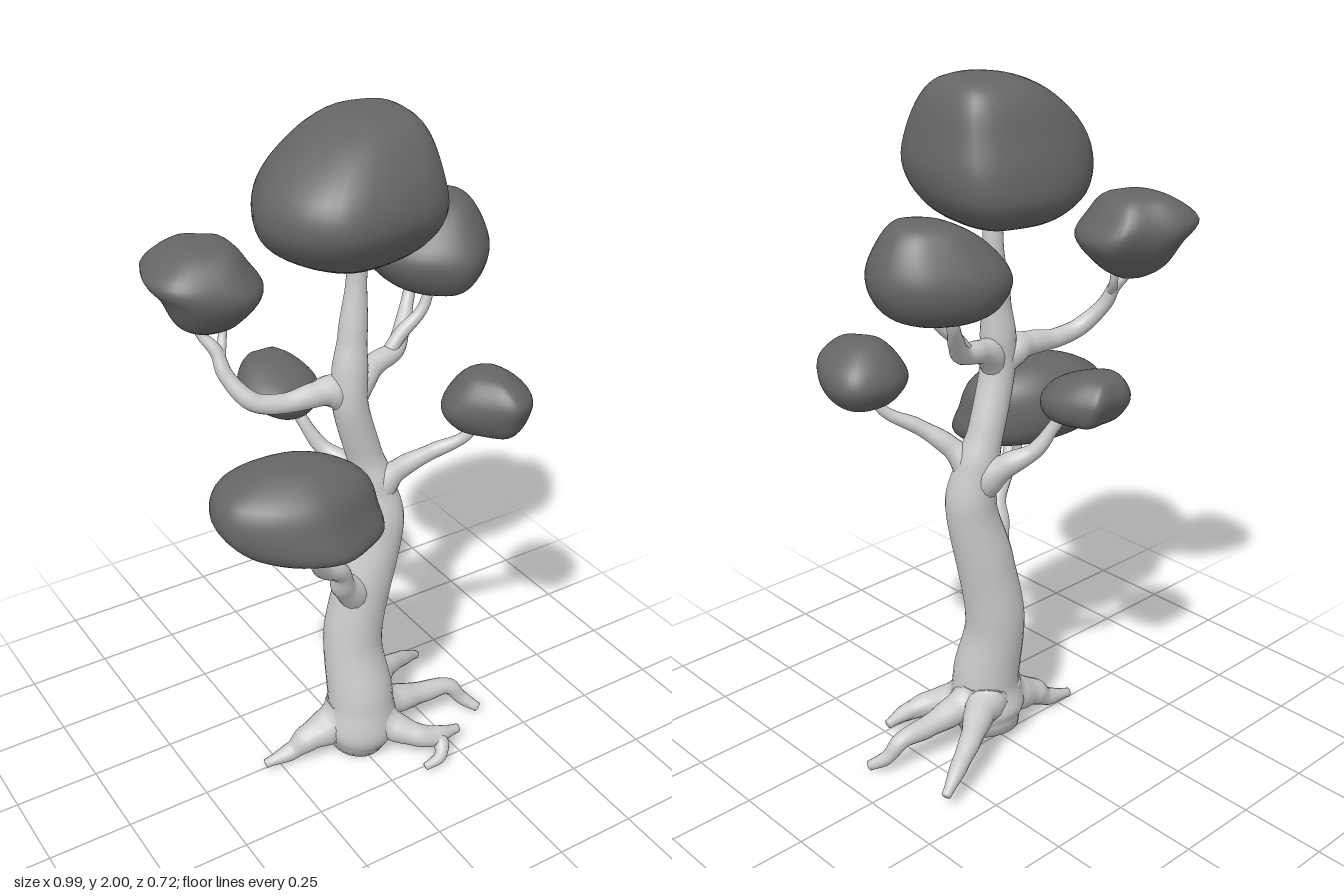
import * as THREE from 'three';
import { mergeVertices } from 'three/addons/utils/BufferGeometryUtils.js';

const bark = new THREE.MeshStandardMaterial({ color: 0xcccccc });
const leaf = new THREE.MeshStandardMaterial({ color: 0x666666 });

// Closed tapering limb through points [x, y, z, radius]
function limb(name, pts, sides = 14) {
  const curve = new THREE.CatmullRomCurve3(pts.map(p => new THREE.Vector3(p[0], p[1], p[2])));
  const seg = pts.length * 8;
  const geo = new THREE.TubeGeometry(curve, seg, 1, sides);
  const pos = geo.attributes.position;
  const v = new THREE.Vector3();
  for (let i = 0; i <= seg; i++) {
    const f = curve.getUtoTmapping(i / seg) * (pts.length - 1);
    const k = Math.min(Math.floor(f), pts.length - 2);
    const s = THREE.MathUtils.smoothstep(f - k, 0, 1);
    const end = i === 0 || i === seg;
    const r = end ? 0 : THREE.MathUtils.lerp(pts[k][3], pts[k + 1][3], s);
    // the rings beside the closed ends move outward, so the caps are blunt
    const c = curve.getPointAt(i / seg);
    const capped = i === 1 ? curve.getPointAt(0.2 / seg)
      : i === seg - 1 ? curve.getPointAt((seg - 0.4) / seg) : c;
    for (let j = 0; j <= sides; j++) {
      const n = i * (sides + 1) + j;
      v.fromBufferAttribute(pos, n).sub(c).multiplyScalar(r).add(capped);
      pos.setXYZ(n, v.x, v.y, v.z);
    }
  }
  geo.deleteAttribute('uv');
  geo.deleteAttribute('normal');
  const merged = mergeVertices(geo, 1e-5);
  merged.computeVertexNormals();
  const mesh = new THREE.Mesh(merged, bark);
  mesh.name = name;
  return mesh;
}

// Rounded clump: a closed outline [x, z] in the -1..1 square, lofted through
// sections [y, xMin, xMax, zMin, zMax] from top to bottom
function clump(name, outline, sections) {
  const spline = f => new THREE.CatmullRomCurve3(sections.map(f), false, 'catmullrom', 0.5);
  const a = spline(s => new THREE.Vector3(s[0], s[1], s[2]));
  const b = spline(s => new THREE.Vector3(s[3], s[4], 0));
  const rim = new THREE.CatmullRomCurve3(outline.map(([x, z]) => new THREE.Vector3(x, 0, z)), true);
  const rows = 30, cols = 44, pos = [], index = [];
  for (let i = 0; i <= rows; i++) {
    const p = a.getPoint(i / rows), q = b.getPoint(i / rows);
    for (let j = 0; j < cols; j++) {
      const o = rim.getPoint(j / cols);
      pos.push((p.y + p.z + o.x * (p.z - p.y)) / 2, p.x, (q.x + q.y + o.z * (q.y - q.x)) / 2);
      if (i === rows) continue;
      const n = i * cols + j, m = i * cols + (j + 1) % cols;
      index.push(n, m, n + cols, m, m + cols, n + cols);
    }
  }
  const geo = new THREE.BufferGeometry();
  geo.setAttribute('position', new THREE.Float32BufferAttribute(pos, 3));
  geo.setIndex(index);
  const merged = mergeVertices(geo, 1e-5);
  merged.computeVertexNormals();
  const mesh = new THREE.Mesh(merged, leaf);
  mesh.name = name;
  return mesh;
}

export function createModel() {
  const tree = new THREE.Group();
  tree.name = 'tree';

  // Trunk: leans, kinks near the lower fork and tapers into the crown
  tree.add(limb('trunk', [
    [0.01, 0.02, 0.035, 0.085], [0.01, 0.1, 0.05, 0.115], [0.01, 0.2, 0.052, 0.1],
    [0.002, 0.4, 0.02, 0.088], [0.035, 0.6, 0.025, 0.084], [0.08, 0.8, 0.035, 0.074],
    [0.07, 0.92, 0.02, 0.062], [0.045, 1.02, 0.01, 0.051], [-0.005, 1.2, 0.015, 0.05],
    [-0.002, 1.29, 0.01, 0.05], [0.01, 1.4, 0.005, 0.04], [0.025, 1.56, 0, 0.028],
    [0.025, 1.68, 0, 0.022],
  ], 24));

  // Branches start inside the trunk and curve out of it
  const branches = {
    lowerRightBranch: [[0.02, 0.52, 0.03, 0.05], [-0.02, 0.6, 0.055, 0.05], [-0.075, 0.66, 0.09, 0.036],
      [-0.1, 0.73, 0.12, 0.028], [-0.18, 0.79, 0.16, 0.022], [-0.235, 0.87, 0.205, 0.015],
      [-0.25, 0.93, 0.215, 0.012]],
    lowerRightTwig: [[-0.17, 0.78, 0.155, 0.018], [-0.205, 0.84, 0.145, 0.014], [-0.195, 0.92, 0.14, 0.01]],
    upperRightBranch: [[0.0, 1.18, 0.015, 0.035], [-0.05, 1.24, 0, 0.045], [-0.11, 1.245, 0, 0.035],
      [-0.2, 1.24, -0.01, 0.028], [-0.28, 1.26, -0.03, 0.026], [-0.33, 1.33, -0.08, 0.021],
      [-0.34, 1.39, -0.11, 0.018], [-0.37, 1.44, -0.14, 0.013], [-0.375, 1.5, -0.15, 0.01]],
    upperRightTwig: [[-0.335, 1.37, -0.1, 0.015], [-0.31, 1.41, -0.13, 0.012], [-0.295, 1.49, -0.15, 0.009]],
    upperLeftBranch: [[0.0, 1.18, 0.015, 0.035], [0.04, 1.25, 0, 0.042], [0.1, 1.275, -0.02, 0.032],
      [0.17, 1.29, -0.035, 0.028], [0.22, 1.34, -0.07, 0.023], [0.265, 1.4, -0.11, 0.018],
      [0.3, 1.49, -0.13, 0.014]],
    upperLeftTwig: [[0.14, 1.28, -0.03, 0.02], [0.19, 1.34, -0.03, 0.02], [0.25, 1.4, -0.02, 0.016],
      [0.28, 1.48, -0.02, 0.013]],
    middleLeftBranch: [[0.06, 0.83, 0.025, 0.04], [0.085, 0.92, 0.04, 0.046], [0.125, 0.98, 0.075, 0.03],
      [0.19, 1.04, 0.13, 0.022], [0.265, 1.09, 0.18, 0.016], [0.3, 1.16, 0.21, 0.012]],
    backBranch: [[0.07, 0.8, 0.03, 0.04], [0.06, 0.89, -0.015, 0.048], [0.035, 0.945, -0.075, 0.033],
      [-0.01, 0.99, -0.13, 0.023], [-0.045, 1.06, -0.165, 0.018], [-0.07, 1.14, -0.21, 0.013]],
  };
  // Roots flare from inside the trunk
  const roots = {
    rightRoot: [[0.0, 0.26, 0.045, 0.04], [-0.025, 0.15, 0.04, 0.08], [-0.09, 0.1, 0.03, 0.058],
      [-0.16, 0.075, 0.02, 0.042], [-0.21, 0.04, 0.01, 0.028], [-0.3, 0.02, 0, 0.014]],
    leftRoot: [[0.02, 0.26, 0.045, 0.04], [0.06, 0.155, 0.045, 0.07], [0.14, 0.125, 0.055, 0.045],
      [0.24, 0.11, 0.06, 0.033], [0.33, 0.1, 0.07, 0.026], [0.37, 0.05, 0.09, 0.021],
      [0.41, 0.018, 0.13, 0.015]],
    backLeftRoot: [[0.02, 0.26, 0.045, 0.04], [0.05, 0.155, 0.01, 0.07], [0.12, 0.14, -0.035, 0.046],
      [0.2, 0.125, -0.09, 0.033], [0.28, 0.095, -0.13, 0.026], [0.37, 0.05, -0.17, 0.014]],
    frontRoot: [[0.015, 0.26, 0.045, 0.04], [0.035, 0.14, 0.085, 0.075], [0.08, 0.1, 0.14, 0.046],
      [0.13, 0.08, 0.19, 0.036], [0.19, 0.055, 0.225, 0.026], [0.17, 0.03, 0.26, 0.019],
      [0.11, 0.015, 0.265, 0.012]],
    frontRootFork: [[0.12, 0.085, 0.18, 0.03], [0.19, 0.07, 0.21, 0.026], [0.27, 0.058, 0.21, 0.014]],
  };
  for (const [name, pts] of Object.entries({ ...branches, ...roots })) tree.add(limb(name, pts));

  // Foliage clumps
  tree.add(
    clump('crownFoliage',
      [[1, -0.37], [0.96, 0.24], [0.78, 0.73], [0.42, 0.93], [-0.44, 1], [-0.83, 0.68], [-1, 0.12],
        [-0.86, -0.37], [-0.62, -0.76], [-0.2, -0.98], [0.37, -0.93], [0.87, -0.71]],
      [[2.0, 0.06, 0.06, 0, 0], [1.995, -0.03, 0.15, -0.1, 0.1], [1.95, -0.14, 0.195, -0.155, 0.17],
        [1.86, -0.25, 0.22, -0.195, 0.235], [1.77, -0.277, 0.234, -0.22, 0.25],
        [1.69, -0.235, 0.212, -0.215, 0.2], [1.63, -0.13, 0.14, -0.15, 0.12], [1.595, 0.01, 0.01, 0, 0]]),
    clump('lowerRightFoliage',
      [[-1, 0.07], [-0.95, -0.54], [-0.67, -0.96], [-0.15, -1], [0.4, -0.82], [0.82, -0.4], [1, 0.1],
        [0.94, 0.52], [0.6, 0.79], [0.06, 1], [-0.49, 0.77], [-0.85, 0.4]],
      [[1.14, -0.25, -0.25, 0.13, 0.13], [1.132, -0.34, -0.15, 0.05, 0.2], [1.08, -0.45, -0.06, -0.01, 0.275],
        [1.0, -0.47, -0.035, -0.03, 0.31], [0.93, -0.415, -0.03, 0.0, 0.328],
        [0.895, -0.32, -0.08, 0.07, 0.27], [0.882, -0.2, -0.2, 0.17, 0.17]]),
    clump('upperRightFoliage',
      [[1, 0], [0.9, 0.48], [0.46, 0.97], [-0.1, 0.97], [-0.74, 0.74], [-0.98, 0.26], [-0.86, -0.39],
        [-0.6, -0.86], [-0.09, -1], [0.5, -0.7], [0.93, -0.43]],
      [[1.668, -0.34, -0.34, -0.2, -0.2], [1.66, -0.41, -0.26, -0.28, -0.1], [1.6, -0.498, -0.21, -0.335, -0.04],
        [1.54, -0.465, -0.184, -0.31, -0.025], [1.47, -0.43, -0.24, -0.26, -0.07],
        [1.435, -0.38, -0.29, -0.21, -0.12], [1.42, -0.34, -0.34, -0.16, -0.16]]),
    clump('upperLeftFoliage',
      [[1, -0.14], [0.87, 0.38], [0.52, 0.79], [0.06, 1], [-0.53, 0.75], [-0.95, 0.25], [-0.96, -0.4],
        [-0.75, -0.86], [-0.24, -1], [0.32, -0.84], [0.76, -0.58]],
      [[1.698, 0.36, 0.36, -0.1, -0.1], [1.688, 0.29, 0.425, -0.18, -0.02], [1.635, 0.205, 0.47, -0.235, 0.04],
        [1.555, 0.15, 0.495, -0.277, 0.087], [1.48, 0.18, 0.465, -0.255, 0.07],
        [1.44, 0.24, 0.4, -0.19, 0.02], [1.426, 0.32, 0.32, -0.1, -0.1]]),
    clump('middleLeftFoliage',
      [[1, -0.28], [0.88, 0.33], [0.55, 0.79], [-0.06, 1], [-0.6, 0.53], [-1, -0.08], [-0.83, -0.58],
        [-0.32, -0.95], [0.33, -0.97], [0.83, -0.74]],
      [[1.302, 0.3, 0.3, 0.22, 0.22], [1.293, 0.25, 0.355, 0.16, 0.3], [1.245, 0.205, 0.415, 0.11, 0.355],
        [1.19, 0.185, 0.433, 0.092, 0.345], [1.14, 0.22, 0.405, 0.12, 0.32],
        [1.117, 0.27, 0.37, 0.16, 0.27], [1.108, 0.32, 0.32, 0.21, 0.21]]),
    clump('backFoliage',
      [[1, -0.15], [0.95, 0.3], [0.6, 0.75], [-0.1, 1], [-0.7, 0.75], [-1, 0.2], [-0.9, -0.36],
        [-0.48, -0.96], [0.1, -1], [0.68, -0.98], [0.85, -0.68]],
      [[1.238, -0.09, -0.09, -0.3, -0.3], [1.23, -0.15, -0.03, -0.34, -0.23], [1.19, -0.195, 0.015, -0.358, -0.14],
        [1.15, -0.205, 0.028, -0.35, -0.11], [1.11, -0.16, 0.01, -0.325, -0.125],
        [1.088, -0.12, -0.04, -0.25, -0.16], [1.082, -0.08, -0.08, -0.2, -0.2]]),
  );
  return tree;
}
